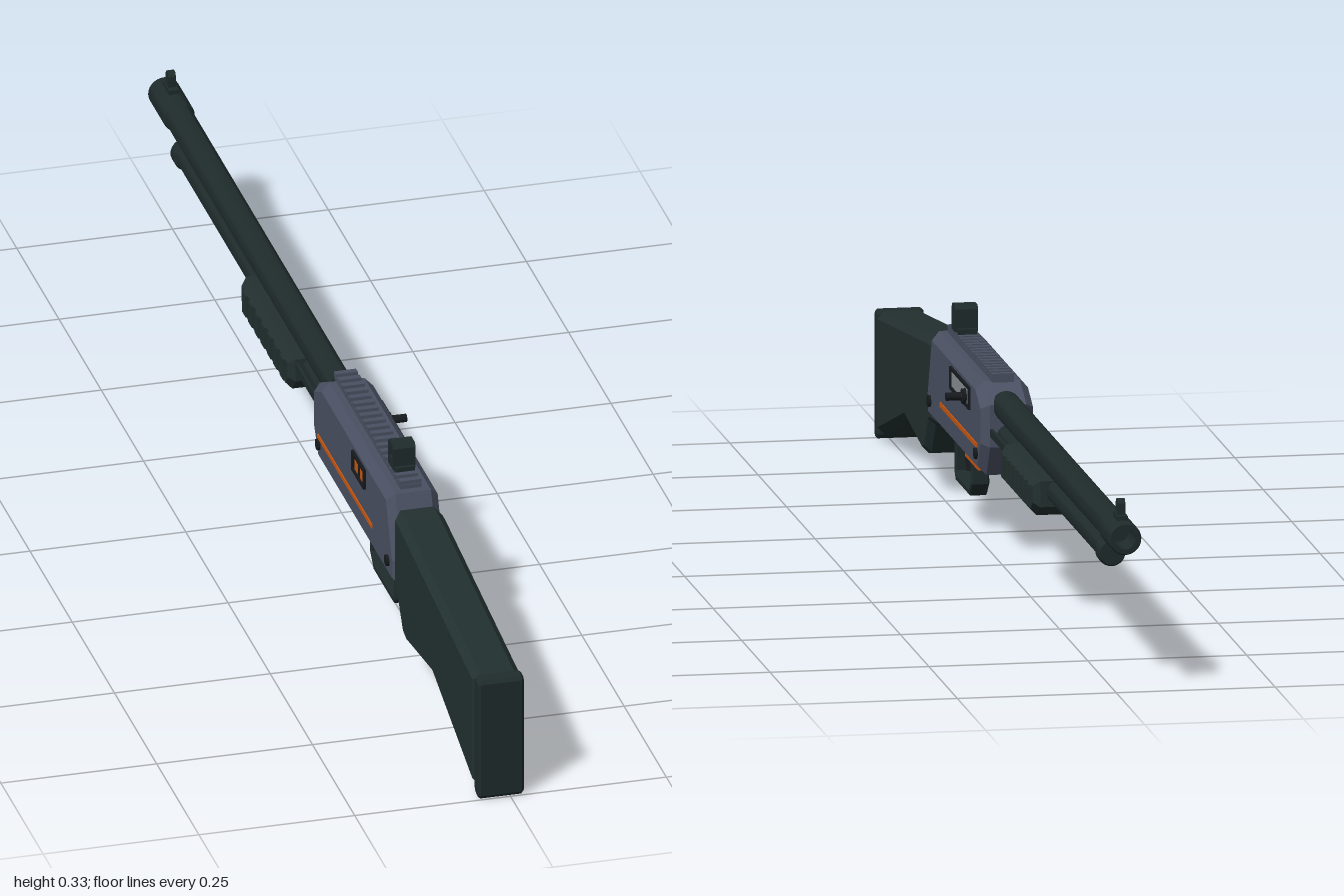
import * as THREE from 'three';
import { toCreasedNormals } from 'three/addons/utils/BufferGeometryUtils.js';

const mat = (name, color) => new THREE.MeshStandardMaterial({ name, color });

export function createModel() {
  const M = {
    slate: mat('slate receiver', 0x4a5062),
    polymer: mat('dark green polymer', 0x22302f),
    metal: mat('dark barrel metal', 0x1f2b2b),
    black: mat('black', 0x171b1e),
    orange: mat('orange accent', 0xc8560f),
    silver: mat('bolt silver', 0x8a8e90),
  };
  const root = new THREE.Group();
  root.name = 'longGun';
  const body = new THREE.Group();
  body.name = 'body';
  body.position.x = -0.0145;
  root.add(body);

  const add = (name, geo, m, x = 0, y = 0, z = 0) => {
    const mesh = new THREE.Mesh(geo, m);
    mesh.name = name;
    mesh.position.set(x, y, z);
    body.add(mesh);
    return mesh;
  };
  const box = (name, m, w, h, d, x, y, z) => add(name, new THREE.BoxGeometry(w, h, d), m, x, y, z);

  // Side profile of [z, y] points, extruded across x with chamfered edges
  const slab = (name, m, pts, width, bevel = 0, hole) => {
    const v = (a) => a.map(([z, y]) => new THREE.Vector2(z, y));
    const shape = new THREE.Shape(v(pts));
    if (hole) shape.holes.push(new THREE.Path(v(hole)));
    const geo = new THREE.ExtrudeGeometry(shape, {
      depth: width - 2 * bevel, bevelEnabled: bevel > 0, bevelSegments: 1,
      bevelSize: bevel, bevelThickness: bevel, bevelOffset: -bevel,
    });
    geo.translate(0, 0, bevel - width / 2);
    geo.rotateY(-Math.PI / 2);
    return add(name, geo, m);
  };

  // Turned part along the barrel axis, from [radius, z] points running toward -z
  const turned = (name, m, y, pts) => {
    const geo = new THREE.LatheGeometry(pts.map(([r, z]) => new THREE.Vector2(r, -z)), 28);
    geo.rotateX(-Math.PI / 2);
    return add(name, toCreasedNormals(geo, 0.6), m, 0, y, 0);
  };

  // Short cylinder pointing sideways
  const peg = (name, m, r, len, x, y, z) => {
    const geo = new THREE.CylinderGeometry(r, r, len, 18);
    geo.rotateZ(Math.PI / 2);
    return add(name, geo, m, x, y, z);
  };

  // Stock and butt plate
  slab('stock', M.polymer, [
    [0.5, 0.256], [0.53, 0.255], [0.978, 0.204], [0.978, 0.012], [0.965, 0.012],
    [0.73, 0.083], [0.575, 0.061], [0.55, 0.068], [0.515, 0.118], [0.5, 0.125],
  ], 0.076, 0.011);
  slab('buttPlate', M.metal, [
    [0.974, 0.2], [0.98, 0.207], [0.996, 0.205], [1, 0.199],
    [1, 0.006], [0.995, 0], [0.98, 0.003], [0.974, 0.01],
  ], 0.074, 0.004);

  // Receiver
  slab('receiver', M.slate, [
    [0.516, 0.13], [0.518, 0.175], [0.478, 0.274], [0.085, 0.274], [0.03, 0.247],
    [0.03, 0.18], [0.062, 0.13],
  ], 0.083, 0.013);

  // Top rail with teeth
  box('railBase', M.slate, 0.034, 0.008, 0.39, 0, 0.277, 0.27);
  for (let i = 0; i < 19; i++) box('railTooth', M.slate, 0.035, 0.008, 0.011, 0, 0.283, 0.08 + i * 0.021);

  // Rear sight with a cross hole
  box('rearSightBase', M.metal, 0.03, 0.014, 0.045, 0, 0.287, 0.41);
  slab('rearSight', M.metal, [
    [0.394, 0.288], [0.426, 0.288], [0.426, 0.324], [0.42, 0.33], [0.4, 0.33], [0.394, 0.324],
  ], 0.036, 0, [[0.403, 0.304], [0.403, 0.321], [0.417, 0.321], [0.417, 0.304]]);

  // Stripes and pins on both sides
  for (const s of [-1, 1]) {
    box('sideStripe', M.orange, 0.003, 0.007, 0.32, s * 0.042, 0.176, 0.23);
    for (const z of [0.482, 0.074]) peg('receiverPin', M.black, 0.009, 0.006, s * 0.043, 0.163, z);
  }

  // Frame of four bars around a side opening
  const frame = (name, x, y, z, h, d) => {
    for (const s of [-1, 1]) {
      box(name, M.black, 0.006, 0.005, d, x, y + s * (h / 2 - 0.0025), z);
      box(name, M.black, 0.006, h, 0.005, x, y, z + s * (d / 2 - 0.0025));
    }
  };

  // Ejection port, bolt and charging handle
  frame('ejectionPortFrame', 0.042, 0.238, 0.213, 0.036, 0.168);
  box('ejectionPortRecess', M.black, 0.002, 0.034, 0.166, 0.0412, 0.238, 0.213);
  box('bolt', M.silver, 0.002, 0.023, 0.14, 0.0428, 0.238, 0.212);
  peg('handleCollar', M.black, 0.012, 0.008, 0.046, 0.236, 0.16);
  peg('handleShaft', M.metal, 0.0045, 0.02, 0.056, 0.236, 0.16);
  peg('handleKnob', M.black, 0.0065, 0.023, 0.0635, 0.236, 0.16);

  // Small window on the far side
  frame('sideWindowFrame', -0.043, 0.238, 0.315, 0.034, 0.072);
  box('sideWindowRecess', M.black, 0.002, 0.032, 0.07, -0.0412, 0.238, 0.315);
  for (const z of [0.298, 0.33]) box('sideWindowMark', M.orange, 0.002, 0.022, 0.016, -0.0425, 0.238, z);

  // Loading gate, trigger guard and trigger
  box('loadingGate', M.orange, 0.046, 0.016, 0.115, 0, 0.124, 0.225);
  slab('triggerGuard', M.metal, [
    [0.275, 0.133], [0.425, 0.133], [0.425, 0.062], [0.413, 0.05], [0.295, 0.05], [0.272, 0.072],
  ], 0.028, 0.002, [[0.284, 0.121], [0.282, 0.077], [0.299, 0.061], [0.409, 0.061], [0.414, 0.066], [0.414, 0.121]]);
  slab('trigger', M.black, [
    [0.357, 0.13], [0.383, 0.13], [0.375, 0.1], [0.362, 0.076], [0.355, 0.078], [0.363, 0.1],
  ], 0.012);

  // Barrel, muzzle sleeve and front sight
  turned('barrel', M.metal, 0.242, [[0, 0.05], [0.0225, 0.05], [0.0225, -0.93], [0, -0.93]]);
  turned('muzzle', M.metal, 0.242, [
    [0.02, -0.905], [0.0255, -0.91], [0.0255, -0.997], [0.0235, -1], [0.016, -1], [0.016, -0.94], [0, -0.94],
  ]);
  box('frontSightBase', M.metal, 0.016, 0.012, 0.04, 0, 0.268, -0.957);
  slab('frontSight', M.metal, [
    [-0.948, 0.268], [-0.948, 0.292], [-0.953, 0.298], [-0.961, 0.298], [-0.966, 0.292], [-0.966, 0.268],
  ], 0.012);

  // Magazine tube, end cap and action bars
  turned('magazineTube', M.metal, 0.197, [[0, 0.05], [0.018, 0.05], [0.018, -0.86], [0, -0.86]]);
  turned('magazineCap', M.metal, 0.197, [
    [0.017, -0.852], [0.022, -0.856], [0.022, -0.878], [0.019, -0.884], [0, -0.884],
  ]);
  for (const s of [-1, 1]) box('actionBar', M.metal, 0.005, 0.012, 0.2, s * 0.026, 0.203, -0.04);

  // Sliding fore grip with side ribs
  slab('foreGrip', M.polymer, [
    [-0.115, 0.215], [-0.115, 0.177], [-0.135, 0.155], [-0.375, 0.155], [-0.408, 0.174], [-0.408, 0.215],
  ], 0.076, 0.01);
  for (const s of [-1, 1]) {
    for (let i = 0; i < 7; i++) {
      box('gripRib', M.polymer, 0.006, 0.036, 0.022, s * 0.0385, 0.187, -0.15 - i * 0.037);
    }
  }
  return root;
}
